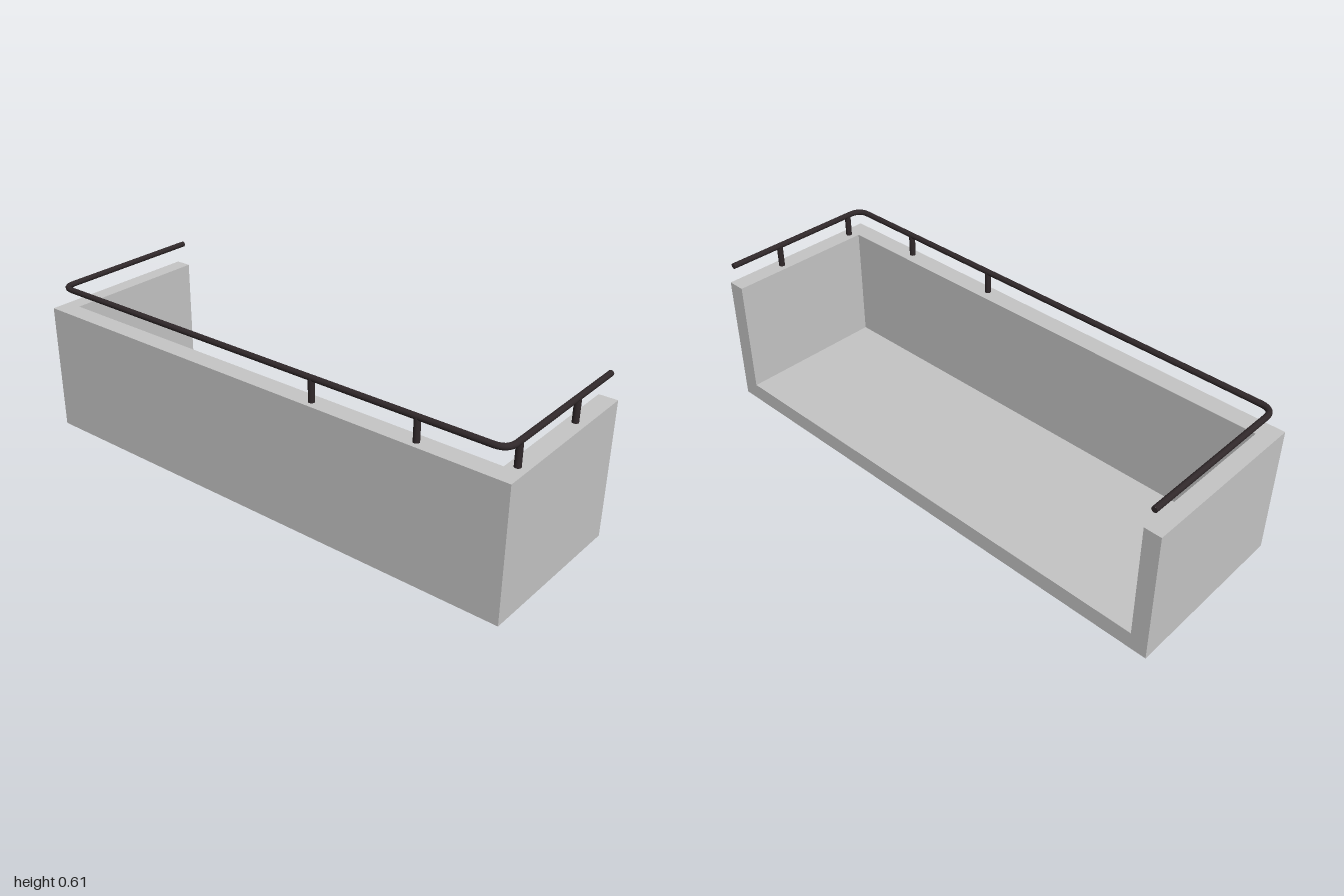
import * as THREE from 'three';

export function createModel() {
  const model = new THREE.Group();
  const concrete = new THREE.MeshStandardMaterial({ color: 0xc6c6c6 });
  concrete.name = 'concrete';
  const metal = new THREE.MeshStandardMaterial({ color: 0x30282a });
  metal.name = 'darkMetal';

  const add = (name, geometry, material) => {
    const mesh = new THREE.Mesh(geometry, material);
    mesh.name = name;
    model.add(mesh);
    return mesh;
  };

  // Side profile given as [z, y] corners, extruded from x0 to x1
  const slab = (name, profile, x0, x1) => {
    const shape = new THREE.Shape(profile.map(([z, y]) => new THREE.Vector2(-z, y)));
    const geometry = new THREE.ExtrudeGeometry(shape, { depth: x1 - x0, bevelEnabled: false });
    geometry.rotateY(Math.PI / 2).translate(x0, 0, 0);
    add(name, geometry, concrete);
  };

  const front = 0.328, back = -0.328, inner = 0.256;

  // Floor with a slightly sloping underside, parapet front and two side walls
  slab('floor', [[inner, 0.012], [inner, 0.062], [back, 0.066], [back, 0]], -1, 1);
  slab('frontWall', [[front - 0.002, 0.014], [front, 0.51], [inner, 0.5105], [inner, 0.012]], -1, 1);
  const sideProfile = [[inner, 0.062], [inner, 0.5105], [back, 0.515], [back, 0.066]];
  slab('rightWall', sideProfile, -1, -0.937);
  slab('leftWall', sideProfile, 0.932, 1);

  // Handrail: a U-shaped tube with rounded corners, rising gently to the back
  const railX = 0.964, railZ = 0.298, bend = 0.05, radius = 0.0108;
  const railY = z => 0.595 + (railZ - z) * 0.008;
  const point = (x, z) => new THREE.Vector3(x, railY(z), z);
  const path = new THREE.CurvePath();
  path.add(new THREE.LineCurve3(point(-railX, back), point(-railX, railZ - bend)));
  path.add(new THREE.QuadraticBezierCurve3(
    point(-railX, railZ - bend), point(-railX, railZ), point(-railX + bend, railZ)));
  path.add(new THREE.LineCurve3(point(-railX + bend, railZ), point(railX - bend, railZ)));
  path.add(new THREE.QuadraticBezierCurve3(
    point(railX - bend, railZ), point(railX, railZ), point(railX, railZ - bend)));
  path.add(new THREE.LineCurve3(point(railX, railZ - bend), point(railX, back)));
  add('handrail', new THREE.TubeGeometry(path, 300, radius, 14), metal);

  // Rail end caps
  for (const x of [-railX, railX]) {
    const cap = add('handrailCap', new THREE.CircleGeometry(radius, 14), metal);
    cap.position.copy(point(x, back));
    cap.rotation.y = Math.PI;
  }

  // Posts at [x, z]
  for (const [x, z] of [[0.252, railZ], [0.658, railZ], [railX, 0.233], [railX, -0.111]]) {
    const bottom = 0.505, height = railY(z) - bottom;
    const post = add('railPost', new THREE.CylinderGeometry(0.0115, 0.0115, height, 16), metal);
    post.position.set(x, bottom + height / 2, z);
  }

  return model;
}
